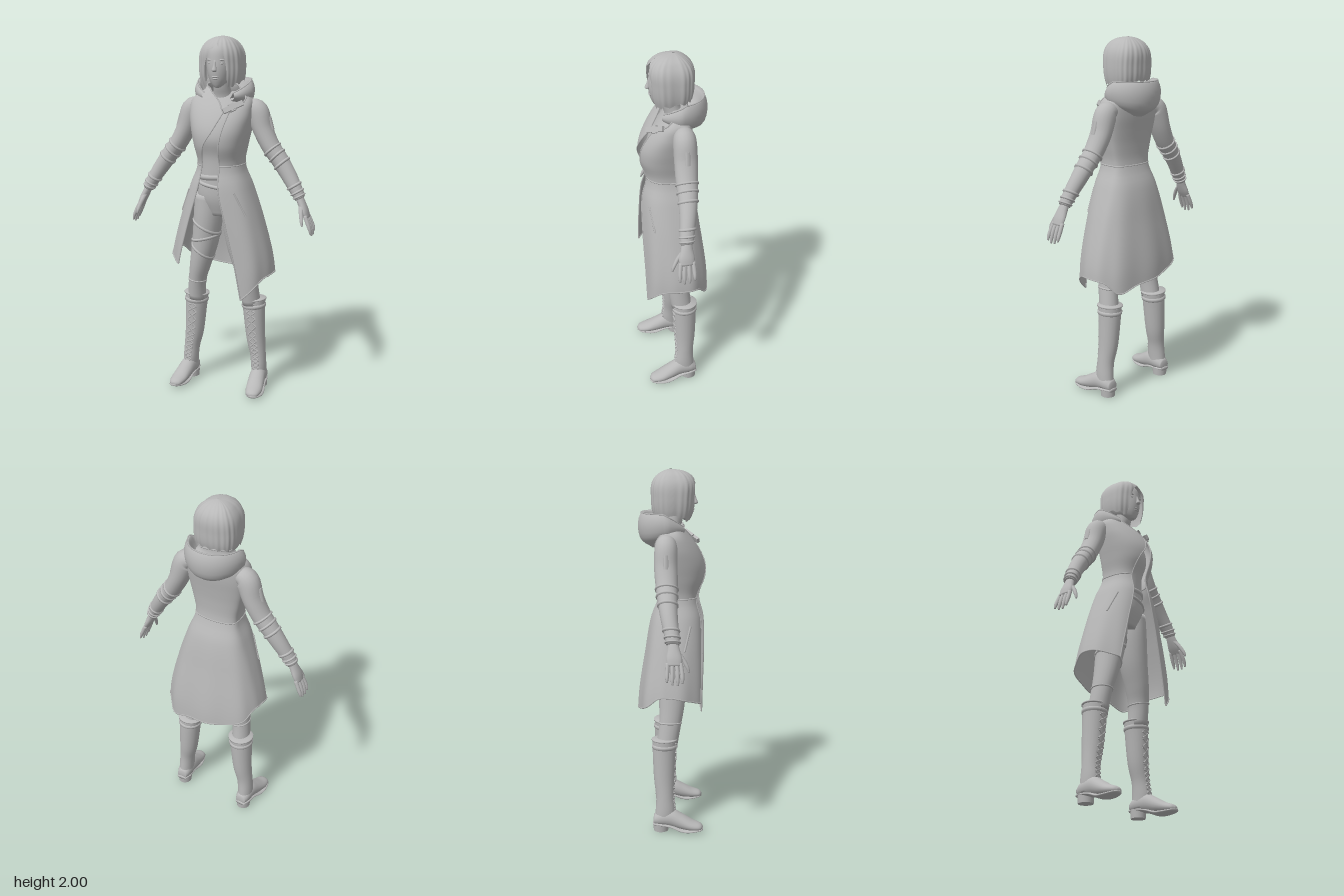
import * as THREE from 'three';

const grey = new THREE.MeshStandardMaterial({ color: 0xb8b8b8, side: THREE.DoubleSide });
grey.name = 'grey clay';
const V = (x, y, z) => new THREE.Vector3(x, y, z);
const { lerp, clamp } = THREE.MathUtils;

// Smooth table lookup: rows are [key, ...values]
function table(rows) {
  const n = rows[0].length - 1;
  const it = new THREE.CubicInterpolant(rows.map(r => r[0]), rows.flatMap(r => r.slice(1)), n, new Float32Array(n));
  return k => Array.from(it.evaluate(k));
}

export function createModel() {
  const model = new THREE.Group();
  model.name = 'woman in hooded coat';

  const add = (name, geo) => {
    const m = new THREE.Mesh(geo, grey);
    m.name = name;
    model.add(m);
    return m;
  };

  // Grid surface from fn(u, v) -> Vector3
  function surf(name, fn, nu, nv, closed) {
    const pos = [], idx = [], w = closed ? nu : nu + 1;
    for (let j = 0; j <= nv; j++) for (let i = 0; i < w; i++) pos.push(...fn(i / nu, j / nv).toArray());
    for (let j = 0; j < nv; j++) for (let i = 0; i < nu; i++) {
      const a = j * w + i, b = j * w + (i + 1) % w, c = a + w, d = b + w;
      idx.push(a, b, c, b, d, c);
    }
    const g = new THREE.BufferGeometry();
    g.setAttribute('position', new THREE.Float32BufferAttribute(pos, 3));
    g.setIndex(idx);
    g.computeVertexNormals();
    return add(name, g);
  }

  // Capped tube through elliptical sections [x, y, z, width radius, depth radius]
  function limb(name, rows, s = 1, n = 20) {
    const at = table(rows.map((r, i) => [i, ...r])), last = rows.length - 1;
    const point = (t, ang, k = 1, grow = 0) => {
      const [x, y, z, a, b] = at(t), p = at(t - 0.05), q = at(t + 0.05);
      const d = V(q[0] - p[0], q[1] - p[1], 0).normalize();
      const c = (a + grow) * k * Math.cos(ang);
      return V(s * (x + d.y * c), y - d.x * c, z + (b + grow) * k * Math.sin(ang));
    };
    const nv = last * 5 + 2;
    const mesh = surf(name, (u, v) => point(clamp((v * nv - 1) / (nv - 2), 0, 1) * last,
      u * Math.PI * 2, v === 0 || v === 1 ? 0.02 : 1), n, nv, true);
    // Raised strap around the limb
    const band = (bn, t0, t1, grow, tilt = 0) => surf(bn, (u, v) => {
      const ang = u * Math.PI * 2;
      return point(lerp(t0, t1, v) + tilt * Math.cos(ang), ang, 1, grow * (v === 0 || v === 1 ? -0.5 : 1));
    }, n, 4, true);
    return { mesh, point, band };
  }

  const rod = (name, a, b, r) => {
    const m = add(name, new THREE.CylinderGeometry(r, r, a.distanceTo(b), 6));
    m.position.copy(a).lerp(b, 0.5);
    m.quaternion.setFromUnitVectors(V(0, 1, 0), b.clone().sub(a).normalize());
    return m;
  };
  const blob = (name, x, y, z, a, b, c) => {
    const m = add(name, new THREE.SphereGeometry(1, 14, 10));
    m.position.set(x, y, z);
    m.scale.set(a, b, c);
    return m;
  };

  // Shell around the body, open at the front: rows [y, half width, front z, back z, left edge x, right edge x]
  function wrap(rows, ripple) {
    const at = table(rows);
    return (u, y) => {
      const [a, zf, zb, xl, xr] = at(y), zc = -0.01;
      const th = lerp(Math.asin(clamp(xl / a, -1, 1)), Math.PI * 2 + Math.asin(clamp(xr / a, -1, 1)), u);
      const k = 1 + ripple(th, y), c = Math.cos(th), e = Math.sign(c) * Math.abs(c) ** 0.65;
      return V(a * k * Math.sin(th), y, zc + e * k * (c > 0 ? zf - zc : zc - zb));
    };
  }
  const trim = (name, fn, r, n = 40) => add(name, new THREE.TubeGeometry(
    new THREE.CatmullRomCurve3(Array.from({ length: n + 1 }, (_, i) => fn(i / n))), n * 2, r, 5));

  // Shirt, trousers top and neck
  const body = limb('shirt', [[0, 1.02, 0, 0.09, 0.075], [0, 1.12, 0.005, 0.14, 0.1], [0, 1.24, 0.02, 0.118, 0.088],
    [0, 1.35, 0.025, 0.108, 0.088], [0, 1.45, 0.035, 0.13, 0.105], [0, 1.55, 0.015, 0.145, 0.1],
    [0, 1.64, -0.02, 0.13, 0.08], [0, 1.7, -0.03, 0.06, 0.05]], 1, 28);
  body.band('waist belt', 1.85, 2.15, 0.008, 0.06);
  body.band('hip belt', 1.45, 1.65, 0.008, -0.15);
  limb('neck', [[0, 1.6, -0.015, 0.075, 0.06], [0, 1.67, -0.01, 0.055, 0.05], [0, 1.73, 0.01, 0.046, 0.047], [0, 1.81, 0.02, 0.046, 0.05]]);

  // Coat
  const coat = wrap([[0.55, 0.292, 0.2, -0.19, 0.175, -0.23], [0.75, 0.288, 0.195, -0.185, 0.14, -0.2],
    [1, 0.232, 0.187, -0.15, 0.08, -0.14], [1.2, 0.168, 0.172, -0.115, 0.035, -0.085], [1.31, 0.128, 0.15, -0.075, 0.035, -0.07],
    [1.42, 0.145, 0.182, -0.075, 0.04, -0.05], [1.5, 0.163, 0.178, -0.085, 0.055, 0], [1.6, 0.178, 0.13, -0.1, 0.08, 0.05],
    [1.67, 0.165, 0.075, -0.1, 0.09, 0.08], [1.72, 0.09, 0.03, -0.08, 0.05, 0.04]],
  (th, y) => 0.022 * Math.sin(th * 8 + 1) * clamp((1.25 - y) * 2, 0, 1));
  const hem = table([[0, 0.58], [0.1, 0.67], [0.19, 0.7], [0.28, 0.69], [0.36, 0.63], [0.45, 0.66], [0.6, 0.69],
    [0.72, 0.74], [0.81, 0.8], [0.9, 0.78], [1, 0.75]]);
  const neckline = table([[0, 1.6], [0.1, 1.68], [0.2, 1.72], [0.8, 1.72], [0.9, 1.68], [1, 1.6]]);
  surf('coat skirt', (u, v) => coat(u, lerp(1.31, hem(u)[0], v)), 80, 24, false);
  surf('coat bodice', (u, v) => coat(u, lerp(1.31, neckline(u)[0], v)), 72, 20, false);
  trim('hem trim', u => coat(u, hem(u)[0]), 0.004);
  trim('waist seam', u => coat(u, 1.31), 0.004);
  trim('neckline trim', u => coat(u, neckline(u)[0]), 0.004);
  for (const u of [0, 1]) trim('front edge trim', v => coat(u, lerp(hem(u)[0], 1.6, v)), 0.004);
  for (const u of [0.09, 0.9]) rod('pocket welt', coat(u, 1.17), coat(u + (u < 0.5 ? 0.03 : -0.03), 1.04), 0.006);

  // Shoulder strap with buckle
  for (const [w, h, x, y] of [[0.12, 0.028, 0.1, 1.63], [0.03, 0.042, 0.095, 1.627]]) {
    const m = add('shoulder strap', new THREE.BoxGeometry(w, h, 0.016));
    m.position.set(x, y, 0.108);
    m.rotation.set(-0.5, 0.45, 0.65);
  }

  // Hood lying on the back: neck side, rim, outer bulge, underside
  const hoodPoint = (u, v) => {
    const ph = lerp(-2.35, 2.35, u), w = (1 + Math.cos(ph)) / 2;
    const rim = 1.675 + 0.095 * Math.min(1, 1.7 * w), low = 1.665 - 0.085 * w;
    const [r, y] = table([[0, 0.06, 1.65], [0.25, 0.115, lerp(1.66, rim, 0.4)], [0.45, 0.142, rim - 0.006], [0.52, 0.152, rim],
      [0.65, 0.17, lerp(low, rim, 0.7)], [0.82, 0.155, lerp(low, rim, 0.25)], [1, 0.09, low]])(v);
    const k = 0.66 + 0.34 * Math.min(1, w * 2);
    return V(r * k * Math.sin(ph), y, -0.02 - r * k * Math.cos(ph) * 0.98);
  };
  surf('hood', hoodPoint, 48, 20, false);
  trim('hood rim', u => hoodPoint(u, 0.52), 0.004);

  // Head and face
  limb('head', [[0, 1.728, 0.08, 0.014, 0.014], [0, 1.745, 0.066, 0.034, 0.038], [0, 1.775, 0.042, 0.056, 0.073],
    [0, 1.82, 0.028, 0.07, 0.094], [0, 1.87, 0.02, 0.077, 0.1], [0, 1.93, 0.008, 0.078, 0.1], [0, 1.975, 0, 0.05, 0.065],
    [0, 1.99, 0, 0.01, 0.01]], 1, 28);
  limb('nose', [[0, 1.872, 0.114, 0.007, 0.008], [0, 1.845, 0.121, 0.009, 0.01], [0, 1.822, 0.126, 0.014, 0.014], [0, 1.814, 0.122, 0.008, 0.008]], 1, 10);
  blob('upper lip', 0, 1.787, 0.112, 0.021, 0.006, 0.01);
  blob('lower lip', 0, 1.776, 0.109, 0.018, 0.006, 0.01);

  // Bobbed hair with combed ridges
  const hair = wrap([[1.72, 0.1, 0.1, -0.085, 0.058, -0.062], [1.78, 0.116, 0.118, -0.108, 0.062, -0.062], [1.85, 0.12, 0.126, -0.114, 0.06, -0.055],
    [1.92, 0.111, 0.128, -0.112, 0.042, -0.03], [1.955, 0.092, 0.112, -0.095, 0.012, 0.006], [1.98, 0.066, 0.082, -0.066, 0.008, 0.008],
    [1.995, 0.032, 0.04, -0.035, 0.004, 0.004], [2, 0.004, 0, -0.015, 0, 0]], th => 0.014 * Math.sin(th * 23) + 0.012 * Math.sin(th * 11 + 1));
  surf('hair', (u, v) => {
    const tip = 1.765 - 0.04 * Math.abs(2 * u - 1) ** 3 + 0.007 * Math.sin(u * 70);
    return hair(u, lerp(2, tip, v ** 1.6));
  }, 120, 28, false);

  for (const s of [1, -1]) {
    // Eyes and brows
    blob('eye', s * 0.031, 1.857, 0.105, 0.013, 0.006, 0.009);
    blob('brow', s * 0.033, 1.876, 0.107, 0.02, 0.005, 0.008).rotation.z = s * 0.1;

    // Sleeve with elbow and wrist straps
    const arm = limb('sleeve', [[0.14, 1.62, -0.03, 0.04, 0.045], [0.188, 1.6, -0.03, 0.062, 0.06], [0.225, 1.5, -0.03, 0.055, 0.062],
      [0.272, 1.41, -0.025, 0.05, 0.058], [0.325, 1.34, -0.02, 0.047, 0.052], [0.38, 1.26, -0.01, 0.043, 0.045],
      [0.43, 1.18, 0.005, 0.035, 0.039], [0.452, 1.14, 0.01, 0.028, 0.034]], s);
    for (const [a, b] of [[3.1, 3.3], [3.6, 3.8], [4.15, 4.35]]) arm.band('elbow strap', a, b, 0.006, 0.05);
    for (const [a, b] of [[5.55, 5.75], [6, 6.25], [6.5, 6.85]]) arm.band('wrist strap', a, b, 0.006);
    rod('sleeve patch', arm.point(1.5, Math.PI, 1, -0.012), arm.point(2.2, Math.PI, 1, -0.012), 0.018);

    // Hand
    limb('palm', [[0.447, 1.15, 0.01, 0.02, 0.027], [0.463, 1.115, 0.014, 0.021, 0.033], [0.482, 1.075, 0.017, 0.019, 0.042], [0.498, 1.04, 0.018, 0.012, 0.038]], s, 14);
    [[-0.016, 0.962], [0.007, 0.947], [0.03, 0.945], [0.05, 0.957]].forEach(([z, y], i) =>
      limb('finger', [[0.49, 1.055, z, 0.011, 0.011], [0.51, 1.01, z * 1.15, 0.011, 0.011], [0.522, 0.975 + (y - 0.947) / 2, z * 1.2, 0.009, 0.0095],
        [0.527, y, z * 1.2, 0.005, 0.005]], s, 9));
    limb('thumb', [[0.465, 1.105, 0.035, 0.014, 0.014], [0.472, 1.07, 0.062, 0.012, 0.013], [0.482, 1.03, 0.084, 0.01, 0.01], [0.487, 1.003, 0.093, 0.004, 0.005]], s, 9);

    // Trouser leg
    const leg = limb('trouser leg', [[0.08, 1.13, 0, 0.08, 0.09], [0.086, 1, 0, 0.082, 0.092], [0.105, 0.85, 0, 0.074, 0.083],
      [0.135, 0.72, 0, 0.06, 0.071], [0.157, 0.62, -0.008, 0.05, 0.062], [0.168, 0.5, -0.025, 0.052, 0.058]], s);
    if (s < 0) for (const [a, t] of [[1.3, 0.2], [1.75, -0.2], [2.3, 0.2]]) leg.band('thigh strap', a, a + 0.14, 0.005, t);
    leg.band('knee seam', 3.95, 4.05, 0.004);

    // Tall laced boot
    const boot = limb('boot shaft', [[0.174, 0.535, -0.04, 0.068, 0.066], [0.179, 0.45, -0.04, 0.062, 0.066], [0.19, 0.3, -0.04, 0.054, 0.059],
      [0.205, 0.2, -0.036, 0.045, 0.051], [0.212, 0.12, -0.034, 0.043, 0.056], [0.214, 0.05, -0.04, 0.04, 0.056]], s);
    boot.band('boot cuff', -0.02, 0.16, 0.006);
    boot.band('boot strap', 0.4, 0.75, 0.005);
    for (let i = 0; i < 13; i++) {
      const t = 0.3 + i * 0.3;
      for (const d of [0.4, -0.4]) rod('boot lace', boot.point(t, Math.PI / 2 - d, 1, 0.002), boot.point(t + 0.28, Math.PI / 2 + d, 1, 0.002), 0.0045);
    }
    // Foot and sole run from heel to toe: built upright, then laid forward
    const lay = m => m.geometry.rotateX(Math.PI / 2);
    lay(limb('boot foot', [[0.212, -0.1, -0.065, 0.03, 0.028], [0.213, -0.065, -0.075, 0.042, 0.045], [0.217, 0, -0.077, 0.045, 0.053],
      [0.224, 0.06, -0.056, 0.047, 0.044], [0.231, 0.115, -0.038, 0.046, 0.03], [0.235, 0.16, -0.03, 0.034, 0.02], [0.236, 0.176, -0.027, 0.012, 0.009]], s).mesh);
    lay(limb('boot sole', [[0.212, -0.104, -0.043, 0.03, 0.01], [0.214, -0.06, -0.043, 0.043, 0.01], [0.22, 0, -0.034, 0.042, 0.01],
      [0.227, 0.06, -0.014, 0.048, 0.012], [0.232, 0.11, -0.012, 0.048, 0.011], [0.236, 0.16, -0.017, 0.034, 0.009], [0.236, 0.178, -0.02, 0.012, 0.006]], s).mesh);
    const heel = add('boot heel', new THREE.CylinderGeometry(0.042, 0.039, 0.045, 18));
    heel.scale.z = 1.05;
    heel.position.set(s * 0.213, 0.0225, -0.06);
  }
  return model;
}
